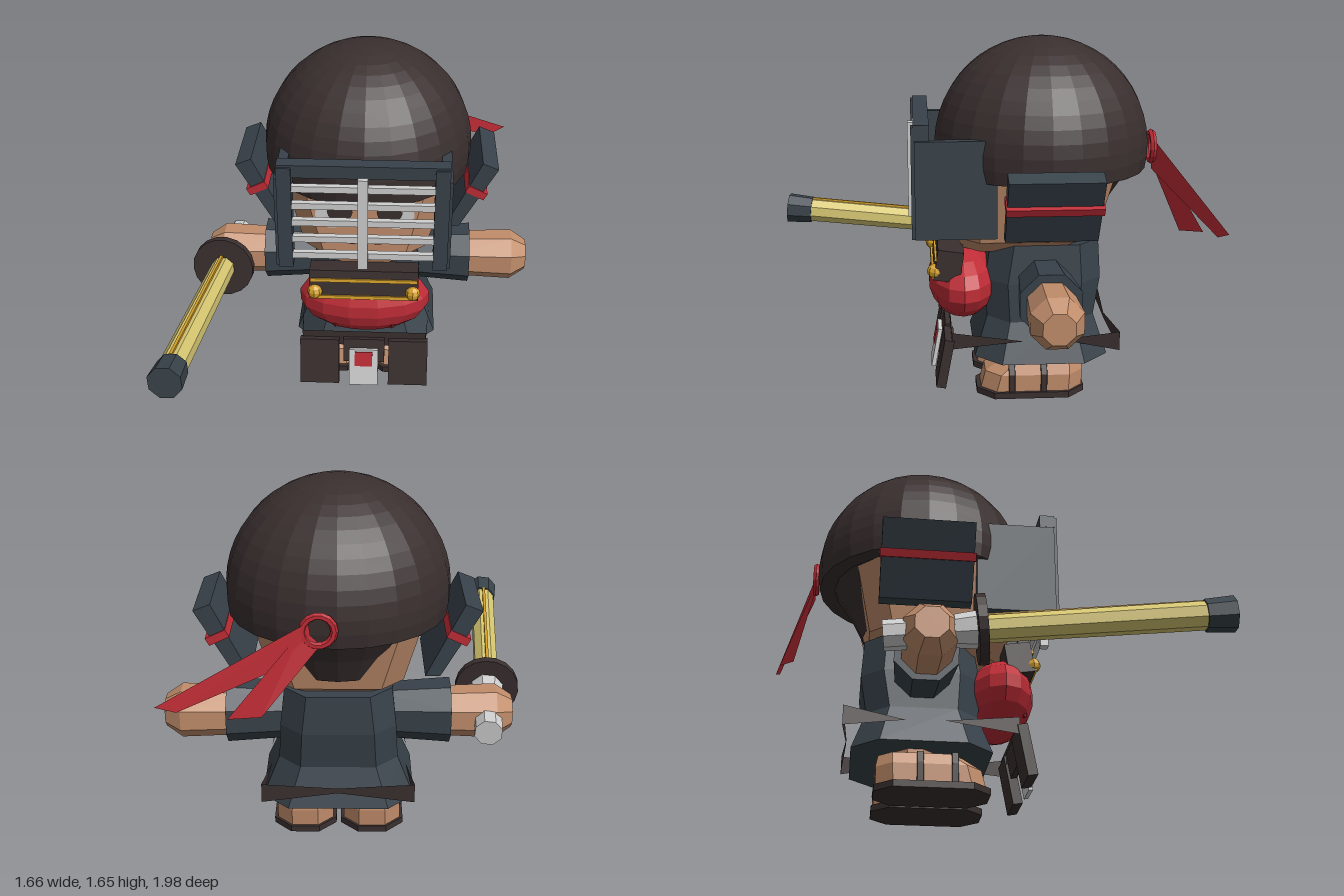
import * as THREE from 'three';

const mat = (name, color, side = THREE.FrontSide) => {
  const m = new THREE.MeshStandardMaterial({ color, side });
  m.name = name;
  return m;
};

export function createModel() {
  const brown = mat('dark brown', 0x3a2f2f, THREE.DoubleSide);
  const navy = mat('slate navy', 0x38424a);
  const skin = mat('skin', 0xc18d6b);
  const red = mat('red', 0xbf2c36, THREE.DoubleSide);
  const silver = mat('silver', 0xcfcfcf);
  const bamboo = mat('bamboo', 0xd8c873);
  const gold = mat('gold', 0xd4a02a);
  const darkRed = mat('dark red', 0x7a1f24);

  const root = new THREE.Group();
  root.name = 'swordsman';
  const body = new THREE.Group();
  body.name = 'body';
  body.position.x = 0.035;
  root.add(body);

  // Adds a faceted mesh
  const add = (parent, name, geo, material, x = 0, y = 0, z = 0, rx = 0, ry = 0, rz = 0) => {
    const g = geo.index ? geo.toNonIndexed() : geo;
    g.computeVertexNormals();
    const m = new THREE.Mesh(g, material);
    m.name = name;
    m.position.set(x, y, z);
    m.rotation.set(rx, ry, rz);
    parent.add(m);
    return m;
  };
  const box = (parent, name, material, w, h, d, x, y, z, rx = 0, ry = 0, rz = 0) =>
    add(parent, name, new THREE.BoxGeometry(w, h, d), material, x, y, z, rx, ry, rz);
  const cyl = (top, bottom, h, n) => new THREE.CylinderGeometry(top, bottom, h, n).rotateY(Math.PI / n);
  const facets = (points) => {
    const g = new THREE.BufferGeometry();
    g.setAttribute('position', new THREE.Float32BufferAttribute(points.flat(), 3));
    return g;
  };

  // Closed loft through chamfered rectangles: [y, halfWidth, zBack, zFront, chamfer]
  const loft = (sections) => {
    const rings = sections.map(([y, w, b, f, c]) => [
      [w - c, y, f], [w, y, f - c], [w, y, b + c], [w - c, y, b],
      [c - w, y, b], [-w, y, b + c], [-w, y, f - c], [c - w, y, f]]);
    const tris = [];
    const mid = ([y, , b, f]) => [0, y, (b + f) / 2];
    const n = rings.length - 1;
    for (let j = 0; j < 8; j++) {
      const k = (j + 1) % 8;
      for (let i = 0; i < n; i++) {
        const lo = rings[i], hi = rings[i + 1];
        tris.push(hi[j], lo[j], hi[k], lo[j], lo[k], hi[k]);
      }
      tris.push(mid(sections[n]), rings[n][j], rings[n][k], mid(sections[0]), rings[0][k], rings[0][j]);
    }
    return facets(tris.flat().length ? tris : []);
  };

  // Head, hair cap and nape
  add(body, 'head', loft([
    [0.69, 0.16, -0.4, 0.09, 0.08], [0.77, 0.29, -0.52, 0.12, 0.1],
    [1.12, 0.38, -0.6, 0.12, 0.1]]), skin);
  const R = 0.495, cut = -0.1;
  add(body, 'hairCap', new THREE.SphereGeometry(R, 24, 14, 0, Math.PI * 2, 0, Math.acos(cut / R)), brown, 0, 1.17, -0.28);
  add(body, 'hairCapUnderside', new THREE.CircleGeometry(Math.sqrt(R * R - cut * cut), 24), brown, 0, 1.07, -0.28, Math.PI / 2);
  const nape = [[0.27, 0.82], [0.33, 0.94], [0.42, 1.08]].map(([x, y]) => new THREE.Vector2(x, y));
  add(body, 'napeHair', new THREE.LatheGeometry(nape, 6, Math.PI - 0.95, 1.9), brown, 0, 0, -0.28);

  // Face
  for (const s of [-1, 1]) {
    add(body, 'eyeWhite', new THREE.CircleGeometry(0.08, 14), silver, s * 0.15, 0.985, 0.125).scale.y = 0.9;
    add(body, 'pupil', new THREE.CircleGeometry(0.06, 12), brown, s * 0.115, 1.0, 0.13).scale.y = 0.8;
  }
  add(body, 'mouth', new THREE.RingGeometry(0.05, 0.085, 10, 1, 0.25, Math.PI - 0.5), darkRed, 0, 0.82, 0.126).scale.y = 0.5;

  // Face guard
  const guard = new THREE.Group();
  guard.name = 'faceGuard';
  body.add(guard);
  for (const s of [-1, 1]) {
    box(guard, 'guardSide', navy, 0.045, 0.44, 0.36, s * 0.37, 1.04, 0.13);
    box(guard, 'guardPost', navy, 0.065, 0.5, 0.08, s * 0.347, 1.07, 0.285);
  }
  box(guard, 'guardTop', navy, 0.76, 0.06, 0.07, 0, 1.3, 0.28);
  for (let i = 0; i < 5; i++) box(guard, 'guardBar', silver, 0.65, 0.03, 0.03, 0, 0.88 + i * 0.084, 0.305);
  box(guard, 'guardCentreBar', silver, 0.045, 0.45, 0.04, 0, 1.05, 0.32);

  // Flared ear flaps with a red cord
  const prism = (pts, depth) => new THREE.ExtrudeGeometry(
    new THREE.Shape(pts.map(([x, y]) => new THREE.Vector2(x, y))), { depth, bevelEnabled: false });
  for (const s of [-1, 1]) {
    const side = (pts) => pts.map(([x, y]) => [s * x, y]);
    add(body, 'earFlap', prism(side([[0.545, 1.155], [0.62, 1.125], [0.445, 0.82], [0.38, 0.82]]), 0.41), navy, 0, 0, -0.49);
    add(body, 'earFlapCord', prism(side([[0.485, 1.04], [0.573, 0.998], [0.555, 0.965], [0.467, 1.007]]), 0.422), red, 0, 0, -0.496);
  }

  // Robe, sleeves and arms
  add(body, 'robe', loft([
    [0.2, 0.345, -0.58, 0.04, 0.12], [0.38, 0.27, -0.52, -0.02, 0.1],
    [0.56, 0.26, -0.55, -0.01, 0.1], [0.74, 0.24, -0.54, -0.04, 0.1]]), navy);
  const armProfile = [[0, 0.4], [0.112, 0.4], [0.125, 0.72], [0.075, 0.795], [0, 0.795]]
    .map(([x, y]) => new THREE.Vector2(x, y));
  for (const s of [-1, 1]) {
    add(body, 'sleeve', cyl(0.15, 0.125, 0.34, 8), navy, s * 0.34, 0.55, -0.28, 0, 0, -s * Math.PI / 2);
    add(body, 'arm', new THREE.LatheGeometry(armProfile, 8).rotateY(Math.PI / 8), skin, 0, 0.545, -0.28, 0, 0, -s * Math.PI / 2);
  }

  // Rounded chest guard with collar
  add(body, 'chestGuard', new THREE.SphereGeometry(1, 14, 9), red, 0, 0.52, 0.09).scale.set(0.315, 0.172, 0.163);
  const collar = new THREE.Group();
  collar.name = 'collar';
  collar.position.set(0, 0.65, 0.16);
  collar.rotation.x = -0.15;
  body.add(collar);
  box(collar, 'collarBlock', brown, 0.51, 0.145, 0.12, 0, 0, 0);
  for (const y of [0.025, -0.06]) box(collar, 'goldTrim', gold, 0.5, 0.016, 0.02, 0, y, 0.06);
  for (const s of [-1, 1]) {
    add(collar, 'goldKnob', new THREE.SphereGeometry(0.035, 8, 6), gold, s * 0.23, -0.035, 0.06);
    add(body, 'chestCrease', new THREE.ConeGeometry(0.016, 0.07, 4), darkRed, s * 0.135, 0.445, 0.2, 0.3);
  }

  // Belt as a band that narrows to a point at each side
  const band = (pts) => {
    const t = [];
    for (let i = 0; i < pts.length - 1; i++) {
      const [a, b, c, d] = [[pts[i], 1], [pts[i], -1], [pts[i + 1], -1], [pts[i + 1], 1]]
        .map(([[x, z, h], s]) => [x, 0.305 + s * h, z]);
      t.push(a, b, c, a, c, d);
    }
    return facets(t);
  };
  add(body, 'beltFront', band([[-0.32, -0.18, 0], [-0.3, 0.15, 0.04], [0.3, 0.15, 0.04], [0.32, -0.18, 0]]), brown);
  add(body, 'beltBack', band([[0.31, -0.35, 0], [0.34, -0.62, 0.045], [0, -0.6, 0.012], [-0.34, -0.62, 0.045], [-0.31, -0.35, 0]]), brown);

  // Apron plates
  const apron = new THREE.Group();
  apron.name = 'apron';
  apron.position.set(0, 0.2, 0.18);
  apron.rotation.x = -0.18;
  body.add(apron);
  for (const s of [-1, 1]) box(apron, 'apronSidePlate', brown, 0.19, 0.235, 0.045, s * 0.215, -0.005, 0);
  box(apron, 'apronCentrePlate', brown, 0.2, 0.12, 0.03, 0, 0.055, 0);
  box(apron, 'apronTag', silver, 0.14, 0.19, 0.02, 0, -0.025, 0.03);
  box(apron, 'apronTagPatch', red, 0.085, 0.075, 0.008, 0, 0.022, 0.042);

  // Feet in sandals
  for (const s of [-1, 1]) {
    const foot = new THREE.Group();
    foot.name = 'foot';
    foot.position.x = s * 0.155;
    body.add(foot);
    add(foot, 'sole', loft([[0.01, 0.145, -0.475, 0.03, 0.08], [0.04, 0.145, -0.475, 0.03, 0.08]]), brown);
    add(foot, 'footBody', loft([
      [0.04, 0.13, -0.465, 0.01, 0.07], [0.12, 0.13, -0.47, -0.01, 0.07], [0.175, 0.105, -0.46, -0.09, 0.06]]), skin);
    add(foot, 'ankle', cyl(0.09, 0.09, 0.1, 8), skin, 0, 0.2, -0.3);
    for (const z of [-0.13, -0.28])
      add(foot, 'sandalStrap', loft([
        [0.03, 0.137, z - 0.015, z + 0.015, 0.002], [0.125, 0.137, z - 0.015, z + 0.015, 0.002],
        [0.182, 0.108, z - 0.015, z + 0.015, 0.002]]), brown);
  }

  // Practice sword, built along its own y axis
  const sword = new THREE.Group();
  sword.name = 'practiceSword';
  sword.position.set(-0.67, 0.565, -0.07);
  sword.quaternion.setFromUnitVectors(new THREE.Vector3(0, 1, 0), new THREE.Vector3(-0.085, 0.095, 1.07).normalize());
  root.add(sword);
  add(sword, 'grip', cyl(0.065, 0.065, 0.4, 8), silver, 0, -0.205, 0);
  add(sword, 'gripCollar', cyl(0.08, 0.07, 0.09, 8), silver, 0, -0.065, 0);
  add(sword, 'handGuard', cyl(0.15, 0.15, 0.04, 18), brown);
  add(sword, 'blade', cyl(0.062, 0.058, 0.92, 8), bamboo, 0, 0.48, 0);
  box(sword, 'bladeCord', gold, 0.014, 0.92, 0.014, 0, 0.48, -0.06);
  add(sword, 'bladeTip', cyl(0.078, 0.07, 0.125, 8), navy, 0, 1.0, 0);

  // Red knot and ribbon tails
  const ribbon = new THREE.Group();
  ribbon.name = 'ribbon';
  root.add(ribbon);
  add(ribbon, 'knot', new THREE.TorusGeometry(0.065, 0.016, 6, 14), red, 0.11, 1.16, -0.785);
  const tail = (a, b, c, d) => add(ribbon, 'ribbonTail', facets([a, c, b, a, d, c]), red);
  tail([0.15, 1.2, -0.79], [0.75, 0.92, -0.99], [0.67, 0.885, -0.965], [0.13, 1.06, -0.785]);
  tail([0.17, 1.17, -0.79], [0.47, 0.85, -0.955], [0.34, 0.82, -0.88], [0.1, 1.1, -0.785]);

  return root;
}
